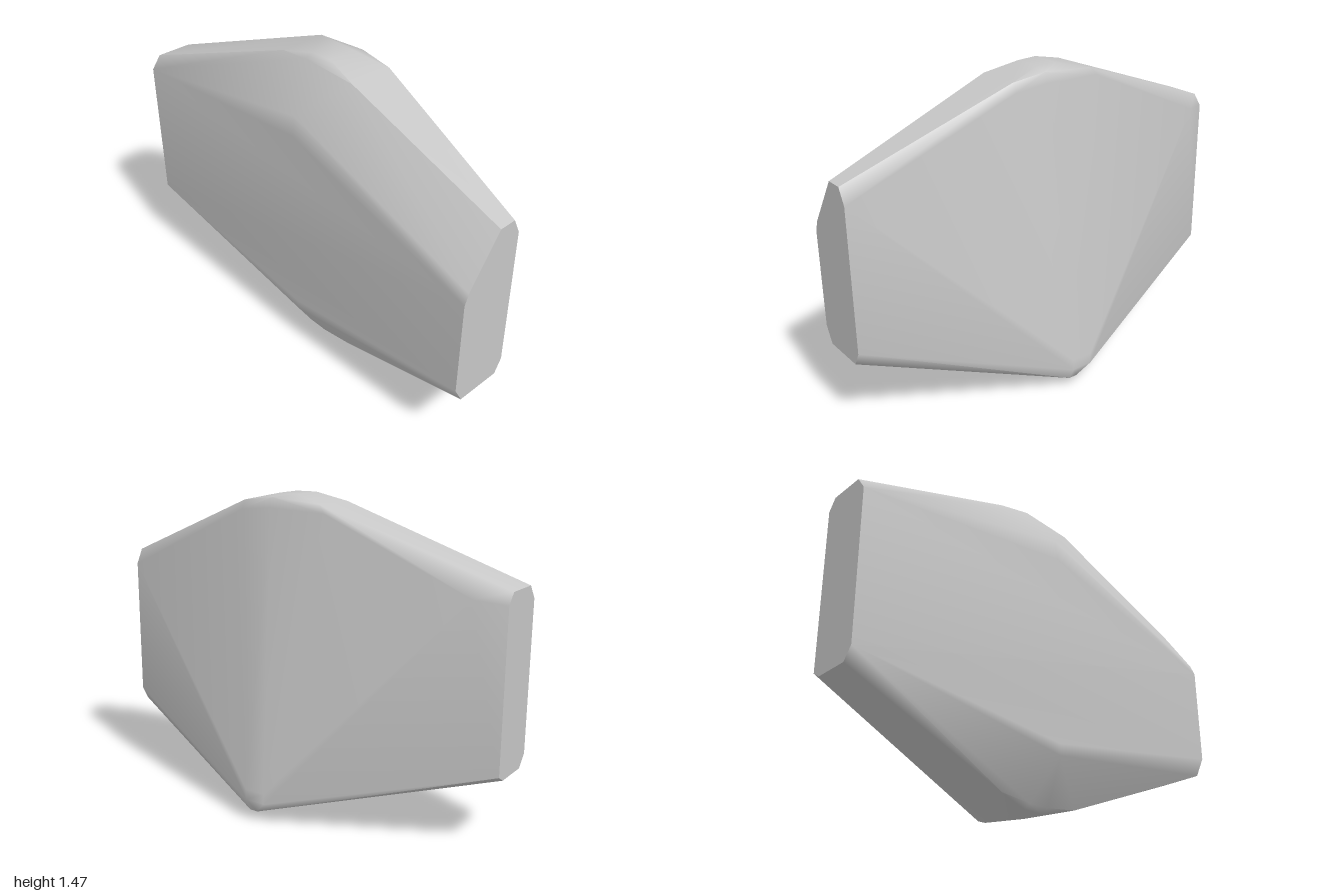
import * as THREE from 'three';
import { ConvexGeometry } from 'three/addons/geometries/ConvexGeometry.js';

// Corner outlines of the slab's vertical cross-sections: x, then [y, z] pairs
const sections = [
  // flat left-hand end
  [-1, [[1.13, 0.24], [1.07, 0.285], [0.39, 0.285], [0.335, 0.24], [0.335, 0.07], [0.36, 0.03], [1.08, 0.03], [1.13, 0.07]]],
  // chipped upper back corner
  [-0.87, [[1.1, -0.03]]],
  // shoulders either side of the crown and keel
  [-0.2, [[1.395, -0.083]]],
  [-0.17, [[1.43, 0.145], [1.43, -0.068], [0.04, 0.15]]],
  // crown, front ridge, keel and back bulge
  [-0.02, [[1.465, 0.12], [1.465, -0.02], [1.45, 0.153], [0.002, 0.12], [0.005, 0], [0.02, 0.155], [0.1, -0.285], [0.15, -0.285]]],
  [0.04, [[1.255, 0.276], [1.16, 0.285], [0.26, 0.285], [0.21, 0.28], [0.04, -0.255]]],
  [0.08, [[1.465, 0.11], [1.465, -0.02], [1.45, -0.072], [1.405, -0.09], [0, 0.12], [0.005, 0], [0.02, 0.155], [0.04, -0.255], [0.1, -0.285], [0.15, -0.285]]],
  [0.24, [[1.43, 0.14], [1.43, -0.066], [1.39, -0.085], [0.04, 0.15]]],
  // flat right-hand end
  [1, [[1.13, 0.115], [0.91, 0.265], [0.86, 0.285], [0.41, 0.285], [0.335, 0.245], [0.335, 0.035], [0.4, 0], [1.06, 0], [1.13, 0.035]]],
];

// Area-weighted normals, so broad faces stay flat; edges above the angle stay sharp
function weightNormals(geometry, angle) {
  const position = geometry.attributes.position;
  const corners = Array.from({ length: position.count }, (_, i) => new THREE.Vector3().fromBufferAttribute(position, i));
  const areas = corners.map((_, i) => {
    const [a, b, c] = corners.slice(i - (i % 3), i - (i % 3) + 3);
    return b.clone().sub(a).cross(c.clone().sub(a));
  });
  corners.forEach((corner, i) => {
    const normal = new THREE.Vector3();
    corners.forEach((other, j) => {
      if (corner.distanceTo(other) < 1e-5 && areas[i].angleTo(areas[j]) < angle) normal.add(areas[j]);
    });
    geometry.attributes.normal.setXYZ(i, ...normal.normalize());
  });
  return geometry;
}

export function createModel() {
  const group = new THREE.Group();
  group.name = 'rock';

  const stone = new THREE.MeshStandardMaterial({ color: 0xc6c6c6 });
  stone.name = 'grey stone';

  // Stone slab: hull of the sections, soft across bevels and sharp at the rims
  const points = sections.flatMap(([x, ring]) => ring.map(([y, z]) => new THREE.Vector3(x, y, z)));
  const slab = new THREE.Mesh(weightNormals(new ConvexGeometry(points), 0.88), stone);
  slab.name = 'stoneSlab';
  group.add(slab);
  return group;
}
